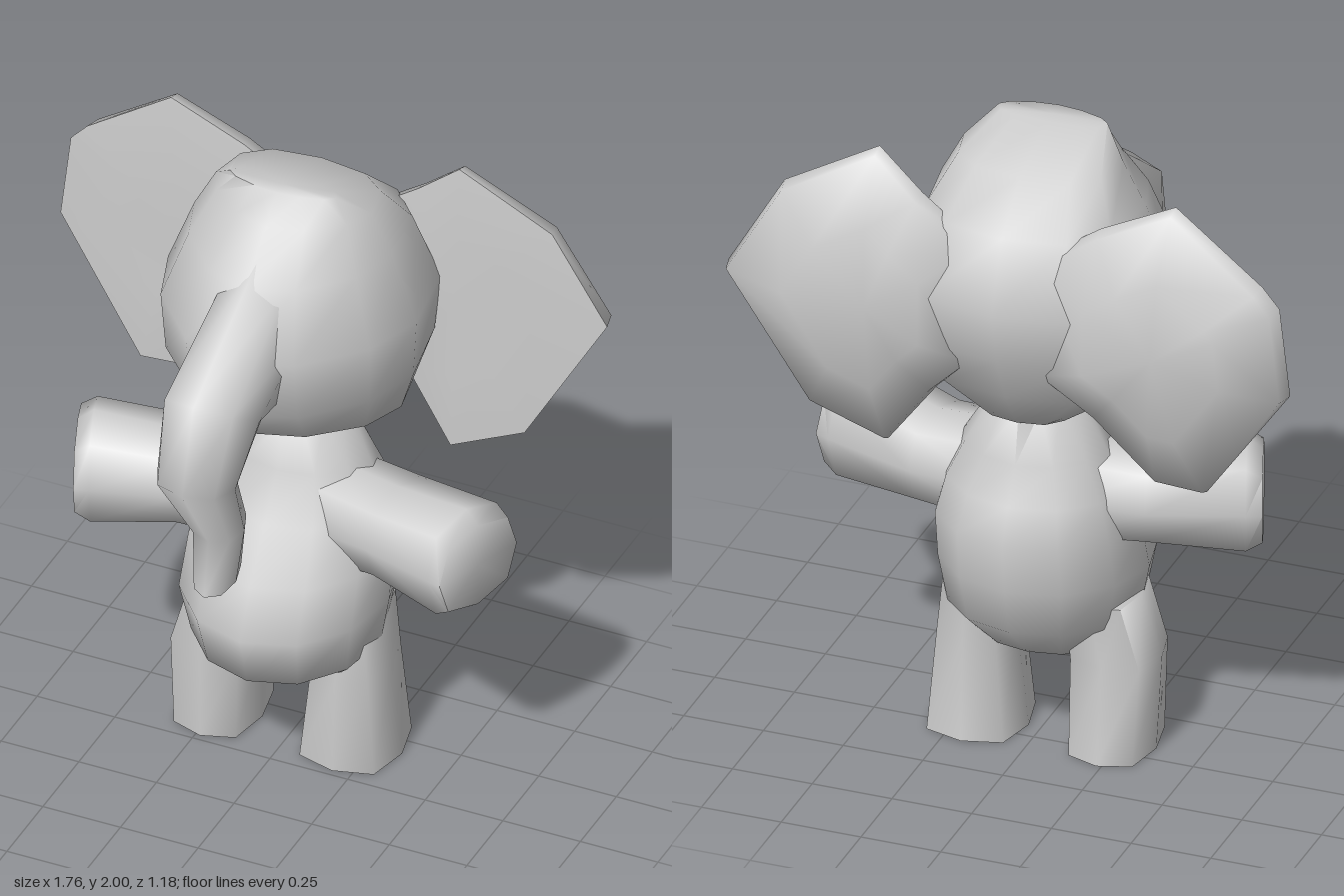
import * as THREE from 'three';
import { toCreasedNormals } from 'three/addons/utils/BufferGeometryUtils.js';

const material = new THREE.MeshStandardMaterial({ color: 0xcccccc });

// Skin a list of point rings and close both ends with a fan.
function loft(rings, flip = false) {
  const n = rings[0].length;
  const pos = [];
  const index = [];
  const tri = (a, b, c) => (flip ? index.push(a, c, b) : index.push(a, b, c));
  const put = (p) => pos.push(flip ? -p[0] : p[0], p[1], p[2]);
  rings.forEach((r) => r.forEach(put));
  const last = rings.length - 1;
  for (const r of [rings[0], rings[last]]) {
    put([0, 1, 2].map((k) => r.reduce((s, p) => s + p[k], 0) / n));
  }
  const startCentre = rings.length * n;
  for (let j = 0; j < n; j++) {
    const k = (j + 1) % n;
    for (let i = 0; i < last; i++) {
      const a = i * n + j, b = i * n + k;
      tri(a, b, b + n);
      tri(a, b + n, a + n);
    }
    tri(startCentre, k, j);
    tri(startCentre + 1, last * n + j, last * n + k);
  }
  const geo = new THREE.BufferGeometry();
  geo.setAttribute('position', new THREE.Float32BufferAttribute(pos, 3));
  geo.setIndex(index);
  return toCreasedNormals(geo, 1.4);
}

// Ring with centre c and half axes u, v. A power under 1 makes it boxier,
// over 1 more pointed; the +v and -v halves may differ.
function oval(c, u, v, n, frontPower = 1, backPower = frontPower) {
  return Array.from({ length: n }, (_, j) => {
    const t = (j / n) * Math.PI * 2;
    const power = j <= n / 2 ? frontPower : backPower;
    const [a, b] = [Math.cos(t), Math.sin(t)].map((s) => Math.sign(s) * Math.abs(s) ** power);
    return c.map((x, k) => x + u[k] * a + v[k] * b);
  });
}

// Loft of rows: centre x, half width, then front and back points as (z, y).
const body = (rows, n, frontPower, backPower) => loft(rows.map(([x, hw, fz, fy, bz, by]) => oval(
  [x, (fy + by) / 2, (fz + bz) / 2], [hw, 0, 0], [0, (fy - by) / 2, (fz - bz) / 2],
  n, frontPower, backPower,
)));

// Ear: a thin pillow whose rim bends forward at top and bottom.
function ear(outline) {
  const cx = outline.reduce((s, p) => s + p[0], 0) / outline.length;
  const cy = 1.5;
  const layer = (scale, z, bend) => outline.map(([x, y]) => [
    cx + (x - cx) * scale,
    cy + (y - cy) * scale,
    z + bend * ((y - cy) / 0.5) ** 2 * (y < cy ? 1.3 : 1),
  ]);
  return loft([
    layer(0.5, -0.41, 0.02),
    layer(1, -0.445, 0.04),
    layer(0.97, -0.505, 0.06),
    layer(0.55, -0.57, 0.03),
  ]);
}

export function createModel() {
  const group = new THREE.Group();
  const add = (name, geo) => {
    const mesh = new THREE.Mesh(geo, material);
    mesh.name = name;
    group.add(mesh);
  };

  // Head, crown to throat: broad at the back, narrowing to the face
  add('head', body([
    [0, 0.17, -0.04, 2.0, -0.14, 1.995],
    [0, 0.25, 0.03, 1.92, -0.36, 1.92],
    [0, 0.32, 0.18, 1.79, -0.51, 1.79],
    [0, 0.4, 0.28, 1.59, -0.59, 1.57],
    [0, 0.39, 0.24, 1.38, -0.55, 1.4],
    [0, 0.34, 0.12, 1.24, -0.48, 1.25],
    [0, 0.14, -0.08, 1.11, -0.39, 1.12],
  ], 12, 1.2, 0.75));

  // Trunk, brow to tip
  add('trunk', body([
    [0.01, 0.13, 0.1, 1.855, 0.12, 1.34],
    [-0.015, 0.15, 0.5, 1.57, 0.23, 1.385],
    [-0.01, 0.125, 0.59, 1.31, 0.39, 1.31],
    [0, 0.08, 0.43, 1.05, 0.27, 1.08],
    [0, 0.06, 0.46, 0.87, 0.27, 0.9],
  ], 8, 0.9));

  // Ears, outlines clockwise from the front
  add('leftEar', ear([[0.1, 1.72], [0.28, 1.85], [0.42, 1.97], [0.71, 1.81], [0.88, 1.52],
    [0.63, 1.09], [0.4, 0.99], [0.23, 1.22], [0.1, 1.35]]));
  add('rightEar', ear([[-0.1, 1.35], [-0.27, 1.23], [-0.45, 1.02], [-0.6, 1.01], [-0.88, 1.41],
    [-0.845, 1.69], [-0.79, 1.75], [-0.51, 1.95], [-0.28, 1.84], [-0.1, 1.72]]));

  // Torso, neck to crotch
  add('torso', body([
    [0, 0.12, -0.08, 1.15, -0.37, 1.15],
    [0, 0.22, -0.05, 1.0, -0.4, 0.98],
    [0, 0.28, 0.04, 0.86, -0.46, 0.87],
    [0, 0.315, 0.14, 0.7, -0.505, 0.76],
    [0, 0.32, 0.21, 0.55, -0.485, 0.6],
    [0, 0.29, 0.16, 0.38, -0.45, 0.45],
    [0, 0.2, 0.0, 0.3, -0.3, 0.31],
  ], 12));

  // Arms, shoulder to blunt end
  const arm = [
    oval([0.1, 0.84, -0.18], [0, 0.16, 0], [0, 0, 0.15], 8, 0.75),
    oval([0.34, 0.84, -0.15], [0, 0.14, 0], [-0.03, 0, 0.155], 8, 0.75),
    oval([0.6, 0.85, -0.07], [0, 0.175, 0], [-0.055, 0, 0.155], 8, 0.75),
    oval([0.645, 0.85, -0.055], [0, 0.14, 0], [-0.055, 0, 0.15], 8, 0.75),
  ];
  add('leftArm', loft(arm));
  add('rightArm', loft(arm, true));

  // Legs, hip to sole
  add('leftLeg', body([
    [0.19, 0.1, -0.03, 0.5, -0.32, 0.5],
    [0.2, 0.115, -0.02, 0.32, -0.31, 0.32],
    [0.19, 0.15, -0.02, 0, -0.35, 0],
  ], 8, 0.65));
  add('rightLeg', body([
    [-0.2, 0.11, -0.03, 0.5, -0.32, 0.5],
    [-0.235, 0.135, -0.02, 0.3, -0.31, 0.3],
    [-0.235, 0.125, -0.02, 0, -0.35, 0],
  ], 8, 0.65));

  return group;
}
